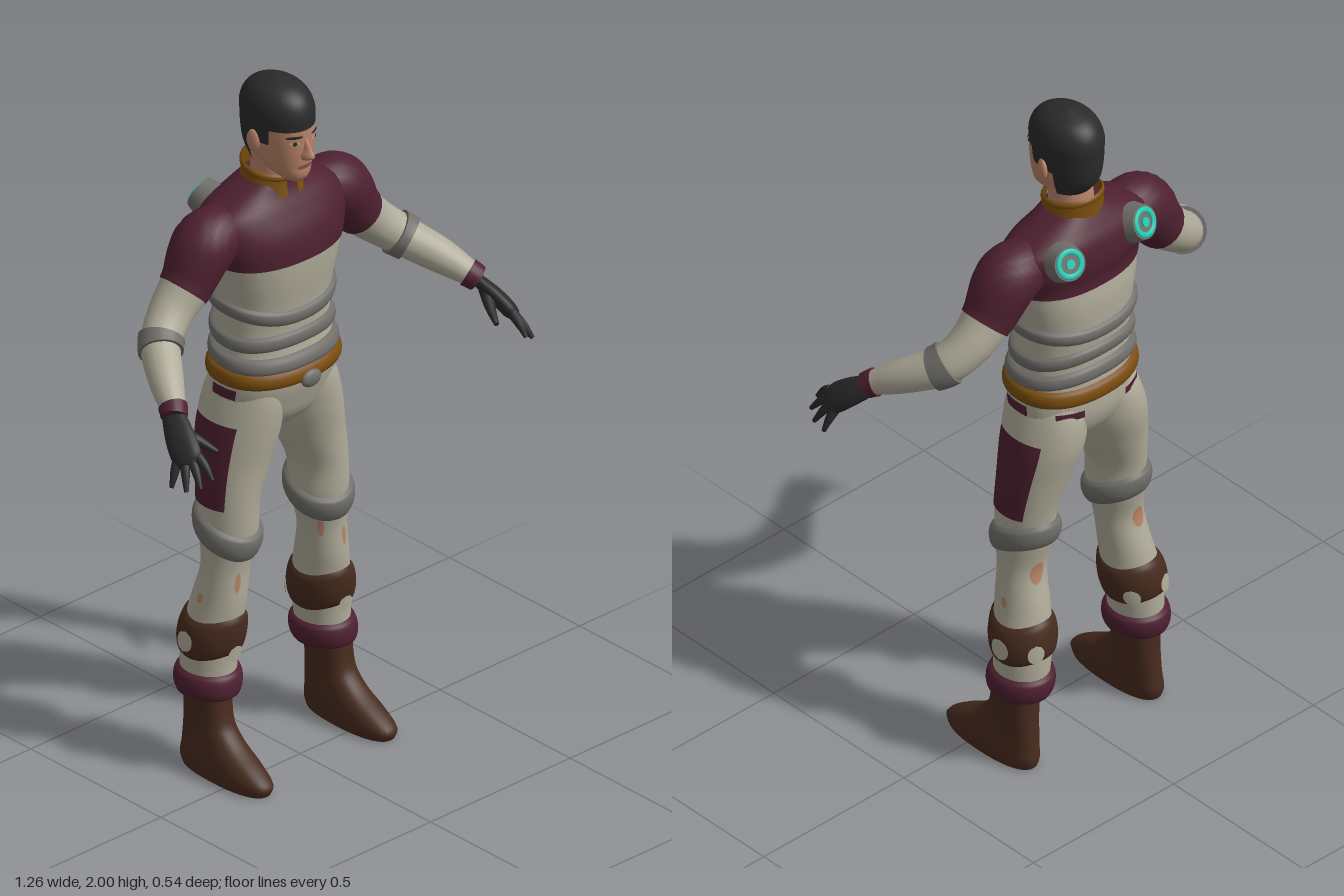
import * as THREE from 'three';

const paint = (name, color, side = THREE.FrontSide) => {
  const m = new THREE.MeshStandardMaterial({ color, side });
  m.name = name;
  return m;
};

// Smooth interpolation of rows [key, a, b, ...] at a key
function at(rows, k) {
  const n = rows.length - 1;
  let i = 0;
  while (i < n - 1 && k > rows[i + 1][0]) i++;
  const p = rows[i], q = rows[i + 1], d = q[0] - p[0], u = Math.min(1, Math.max(0, (k - p[0]) / d));
  const slope = (j, c) => {
    const l = rows[Math.max(0, j - 1)], r = rows[Math.min(n, j + 1)];
    return (r[c] - l[c]) / (r[0] - l[0]);
  };
  return p.slice(1).map((v, j) => {
    const c = j + 1, w = q[c], u2 = u * u, u3 = u2 * u;
    return v * (2 * u3 - 3 * u2 + 1) + w * (3 * u2 - 2 * u3) +
      d * (slope(i, c) * (u3 - 2 * u2 + u) + slope(i + 1, c) * (u3 - u2));
  });
}

// Skin over rings of points; closed rings get end caps
function skin(name, mat, rings, closed) {
  const pos = [], idx = [], m = rings[0].length, n = rings.length;
  rings.forEach(r => r.forEach(p => pos.push(p.x, p.y, p.z)));
  for (let i = 0; i < n - 1; i++) for (let j = 0; j < (closed ? m : m - 1); j++) {
    const a = i * m + j, b = i * m + (j + 1) % m;
    idx.push(a, b, b + m, a, b + m, a + m);
  }
  if (closed) [0, n - 1].forEach(i => {
    const c = new THREE.Vector3(), k = pos.length / 3;
    rings[i].forEach(p => c.addScaledVector(p, 1 / m));
    rings[i].forEach(p => pos.push(p.x, p.y, p.z));
    pos.push(c.x, c.y, c.z);
    for (let j = 0; j < m; j++) {
      const a = k + j, b = k + (j + 1) % m;
      i ? idx.push(a, b, k + m) : idx.push(b, a, k + m);
    }
  });
  const g = new THREE.BufferGeometry();
  g.setAttribute('position', new THREE.Float32BufferAttribute(pos, 3));
  g.setIndex(idx);
  g.computeVertexNormals();
  return part(name, mat, g);
}

function part(name, mat, geo) {
  const mesh = new THREE.Mesh(geo, mat);
  mesh.name = name;
  return mesh;
}

// Upright loft of ellipses; rows are [y, cx, cz, rx, rz]. Angle 0 faces front.
function loft(name, mat, rows, y0, y1, o = {}) {
  const { a, off = 0, bulge, round, wave = () => 0, sq = 1, n = 20, seg = 40 } = o;
  const pw = v => Math.sign(v) * Math.abs(v) ** sq, rings = [];
  for (let i = 0; i <= n; i++) {
    const v = i / n, ring = [], y = y0 + (y1 - y0) * v;
    const e = bulge ? off * Math.max(0, Math.sin(Math.PI * v)) ** 0.4 : off;
    const w = round ? Math.sqrt(Math.max(0, 1 - (2 * v - 1) ** 2)) : 1;
    for (let j = 0; j < (a ? seg + 1 : seg); j++) {
      const t = a ? (a[0] + a[1]) / 2 + (a[1] - a[0]) * (j / seg - 0.5) * w : j / seg * 2 * Math.PI;
      const yy = y + wave(t), [cx, cz, rx, rz] = at(rows, yy);
      ring.push(new THREE.Vector3(cx + (rx + e) * pw(Math.sin(t)), yy, cz + (rz + e) * pw(Math.cos(t))));
    }
    rings.push(ring);
  }
  return skin(name, mat, rings, !a);
}

// Round limb along a path; pts are [x, y, z, radius]
const across = new THREE.Vector3(0.47, -0.34, -0.81);
function limb(name, mat, pts, t0 = 0, t1 = 1, off = 0, flat = 1, n = 24, seg = 20) {
  const rows = pts.map((p, i) => [i / (pts.length - 1), ...p]), rings = [];
  for (let i = 0; i <= n; i++) {
    const t = t0 + (t1 - t0) * i / n, [x, y, z, r] = at(rows, t);
    const f = new THREE.Vector3(...at(rows, Math.min(1, t + 0.01)));
    const d = f.sub(new THREE.Vector3(...at(rows, Math.max(0, t - 0.01)))).normalize();
    const u = across.clone().addScaledVector(d, -across.dot(d)).normalize();
    const w = d.clone().cross(u);
    rings.push(Array.from({ length: seg }, (_, j) => {
      const a = j / seg * 2 * Math.PI, R = r + off;
      return new THREE.Vector3(x, y, z).addScaledVector(u, R * Math.cos(a)).addScaledVector(w, R * flat * Math.sin(a));
    }));
  }
  return skin(name, mat, rings, true);
}

export function createModel() {
  const cream = paint('cream cloth', 0xb0ac9a), maroon = paint('maroon cloth', 0x4e2030);
  const black = paint('black', 0x2a2a2b, THREE.DoubleSide), brown = paint('brown leather', 0x472b1e);
  const grey = paint('grey padding', 0x6f6e69), ochre = paint('ochre leather', 0x7a4d0d, THREE.DoubleSide);
  const teal = paint('teal light', 0x20c8b0), flesh = paint('skin', 0xb98468), lip = paint('lips', 0x8a5546);
  const model = new THREE.Group();
  const add = (...m) => model.add(...m);
  // Adds a left part and its mirror image
  const both = mesh => {
    const g = mesh.geometry.clone().scale(-1, 1, 1), ix = g.index.array;
    for (let i = 0; i < ix.length; i += 3) [ix[i], ix[i + 1]] = [ix[i + 1], ix[i]];
    const n = mesh.name[0].toUpperCase() + mesh.name.slice(1);
    const other = part('right' + n, mesh.material, g);
    mesh.name = 'left' + n;
    add(mesh, other);
  };

  // Torso
  const torso = [[0.97, 0, -0.11, 0.06, 0.05], [1.02, 0, -0.11, 0.15, 0.1], [1.08, 0, -0.11, 0.178, 0.125],
    [1.15, 0, -0.103, 0.18, 0.133], [1.25, 0, -0.108, 0.168, 0.12], [1.35, 0, -0.11, 0.168, 0.125],
    [1.45, 0, -0.105, 0.188, 0.132], [1.52, 0, -0.1, 0.205, 0.13], [1.58, 0, -0.11, 0.222, 0.128],
    [1.64, 0, -0.12, 0.215, 0.108], [1.68, 0, -0.12, 0.14, 0.085], [1.71, 0, -0.115, 0.08, 0.07]];
  const sq = 0.88;
  add(loft('hips', cream, torso, 0.97, 1.16, { sq }), loft('shirt', cream, torso, 1.16, 1.505, { sq }),
    loft('chestPanel', maroon, torso, 1.5, 1.71, { sq, off: 0.002 }));
  [[1.345, 0.02], [1.28, -0.014], [1.215, -0.008]].forEach(([y, w], i) => add(loft('waistPad' + (i + 1), grey, torso,
    y - 0.022, y + 0.022, { sq, off: 0.014, bulge: true, n: 10, wave: a => w * Math.sin(a) ** 2 - 0.012 * Math.cos(a) })));
  add(loft('belt', ochre, torso, 1.138, 1.188, { sq, off: 0.014, bulge: true, n: 10 }));
  const buckle = part('buckle', grey, new THREE.SphereGeometry(1, 20, 12).scale(0.034, 0.025, 0.014));
  buckle.position.set(0, 1.147, 0.042);
  add(buckle);
  both(loft('hipFlap', maroon, torso, 1.105, 1.135, { sq, off: 0.008, a: [1.25, 1.75], n: 4 }));
  both(loft('backPocketFlap', maroon, torso, 1.1, 1.122, { sq, off: 0.007, a: [2.3, 2.8], n: 4 }));

  // Round lights on the shoulder blades
  const out = new THREE.Vector3(0.18, 0.42, -0.89).normalize();
  const turn = new THREE.Quaternion().setFromUnitVectors(new THREE.Vector3(0, 1, 0), out);
  const disc = (name, mat, geo, d) => both(part(name, mat, geo.translate(0, d, 0).applyQuaternion(turn).translate(0.13, 1.632, -0.228)));
  disc('lightHousing', grey, new THREE.CylinderGeometry(0.046, 0.056, 0.04, 28), 0);
  disc('lightRing', teal, new THREE.TorusGeometry(0.034, 0.008, 8, 28).rotateX(Math.PI / 2).scale(1, 0.5, 1), 0.021);
  disc('lightCore', teal, new THREE.CylinderGeometry(0.013, 0.013, 0.006, 16), 0.022);

  // Neck and collar
  add(loft('neck', flesh, [[1.66, 0, -0.11, 0.06, 0.066], [1.8, 0, -0.1, 0.058, 0.058]], 1.66, 1.8));
  const collar = [[1.66, 0, -0.11, 0.1, 0.09], [1.71, 0, -0.112, 0.083, 0.08], [1.78, 0, -0.115, 0.074, 0.072]];
  const rise = a => -0.014 * Math.cos(a);
  add(loft('collar', ochre, collar, 1.685, 1.745, { a: [0.2, 6.08], wave: rise, n: 8 }),
    loft('collarTrim', ochre, collar, 1.728, 1.748, { a: [0.2, 6.08], wave: rise, off: 0.006, bulge: true, n: 6 }));

  // Head and face
  const head = [[1.722, 0, -0.025, 0.018, 0.025], [1.74, 0, -0.038, 0.042, 0.055], [1.77, 0, -0.062, 0.062, 0.08],
    [1.8, 0, -0.075, 0.071, 0.097], [1.84, 0, -0.08, 0.077, 0.104], [1.88, 0, -0.083, 0.079, 0.107],
    [1.92, 0, -0.085, 0.077, 0.105], [1.96, 0, -0.09, 0.062, 0.085], [1.98, 0, -0.09, 0.03, 0.04]];
  add(loft('head', flesh, head, 1.722, 1.98, { sq: 0.93 }));
  add(loft('nose', flesh, [[1.795, 0, 0.01, 0.012, 0.016], [1.808, 0, 0.014, 0.018, 0.038],
    [1.83, 0, 0.01, 0.011, 0.032], [1.858, 0, 0.006, 0.009, 0.019]], 1.795, 1.858, { n: 10, seg: 16 }));
  const face = (name, mat, y0, y1, a, off) => loft(name, mat, head, y0, y1, { a, off, round: true, sq: 0.93, n: 8, seg: 10 });
  add(face('mouth', lip, 1.768, 1.782, [-0.36, 0.36], 0.003));
  both(face('eye', cream, 1.846, 1.858, [0.25, 0.6], 0.002));
  both(face('pupil', black, 1.846, 1.859, [0.36, 0.5], 0.004));
  both(face('eyebrow', black, 1.866, 1.875, [0.16, 0.72], 0.004));
  both(part('ear', flesh, new THREE.SphereGeometry(1, 14, 12).scale(0.011, 0.032, 0.02).rotateY(-0.3).translate(0.086, 1.842, -0.088)));

  // Hair
  const hair = [[1.76, 0, -0.1, 0.062, 0.06], [1.8, 0, -0.094, 0.076, 0.094], [1.84, 0, -0.09, 0.083, 0.108],
    [1.89, 0, -0.088, 0.087, 0.113], [1.93, 0, -0.089, 0.086, 0.112], [1.965, 0, -0.09, 0.072, 0.094],
    [1.988, 0, -0.092, 0.046, 0.06], [2, 0, -0.093, 0.008, 0.01]];
  add(loft('hairTop', black, hair, 1.885, 2, { wave: a => 0 }), loft('hairBack', black, hair, 1.765, 1.888, { a: [1.85, 4.43] }));
  both(loft('sideburn', black, hair, 1.84, 1.888, { a: [1.12, 1.95], n: 6 }));

  // Arms
  const arm = [[0.14, 1.59, -0.115, 0.07], [0.235, 1.575, -0.115, 0.084], [0.3, 1.485, -0.113, 0.07],
    [0.365, 1.42, -0.108, 0.06], [0.43, 1.365, -0.075, 0.054], [0.49, 1.315, 0.01, 0.047],
    [0.53, 1.275, 0.08, 0.034], [0.55, 1.255, 0.105, 0.03]];
  both(limb('shoulderSleeve', maroon, arm, 0, 0.32, 0.003));
  both(limb('lowerSleeve', cream, arm, 0.3, 0.9));
  both(limb('elbowBand', grey, arm, 0.545, 0.605, 0.008));
  both(limb('wristBand', maroon, arm, 0.85, 0.95, 0.005));

  // Gloved hands
  both(limb('palm', black, [[0.538, 1.266, 0.085, 0.031], [0.562, 1.225, 0.14, 0.042],
    [0.577, 1.19, 0.182, 0.043], [0.584, 1.174, 0.2, 0.03]], 0, 1, 0, 0.5));
  const tips = [[0.562, 1.145, 0.265], [0.595, 1.126, 0.255], [0.615, 1.112, 0.222], [0.624, 1.11, 0.175]];
  tips.forEach((t, i) => {
    const b = [0.577, 1.185, 0.187].map((v, c) => v + across.getComponent(c) * (i - 1.5) * 0.02);
    const mid = b.map((v, c) => (v + t[c]) / 2 + (c === 1 ? 0.006 : 0));
    both(limb('finger' + (i + 1), black, [[...b, 0.014], [...mid, 0.012], [...t, 0.006]], 0, 1, 0, 1, 8, 10));
  });
  both(limb('thumb', black, [[0.555, 1.235, 0.12, 0.022], [0.525, 1.213, 0.165, 0.015], [0.5, 1.188, 0.218, 0.007]], 0, 1, 0, 1, 8, 10));

  // Trouser legs
  const leg = [[0.2, 0.21, -0.13, 0.068, 0.08], [0.3, 0.203, -0.135, 0.072, 0.08], [0.4, 0.195, -0.13, 0.077, 0.082],
    [0.5, 0.183, -0.115, 0.068, 0.078], [0.6, 0.172, -0.102, 0.067, 0.066], [0.7, 0.162, -0.102, 0.077, 0.082],
    [0.8, 0.158, -0.106, 0.077, 0.09], [0.9, 0.133, -0.113, 0.094, 0.104], [1, 0.11, -0.117, 0.101, 0.122],
    [1.08, 0.096, -0.113, 0.09, 0.124], [1.14, 0.085, -0.105, 0.078, 0.11]];
  both(loft('trouserLeg', cream, leg, 0.23, 1.14, { n: 50 }));
  both(loft('thighPanel', maroon, leg, 0.79, 1.03, { a: [0.95, 2.2], off: 0.006 }));
  both(loft('kneePad', grey, leg, 0.662, 0.738, { off: 0.016, bulge: true, n: 12, wave: a => -0.032 * Math.cos(a) + 0.008 * Math.sin(a) }));
  both(loft('trouserCuff', maroon, leg, 0.222, 0.295, { off: 0.017, bulge: true, n: 12 }));

  // Shin straps with openings, and worn spots on the calves
  both(loft('shinStrap', brown, leg, 0.345, 0.457, { off: 0.013, bulge: true, n: 14, wave: a => 0.008 * Math.cos(2 * a) }));
  [[1.35, 1.95, 0.36, 0.42], [-0.25, 0.25, 0.34, 0.385], [2.5, 3, 0.36, 0.415], [3.7, 4.2, 0.35, 0.4]].forEach(([a0, a1, y0, y1], i) =>
    both(loft('strapOpening' + (i + 1), cream, leg, y0, y1, { a: [a0, a1], off: 0.0165, round: true, n: 8, seg: 10 })));
  [[0.1, 0.35, 0.54, 0.6], [1.5, 1.75, 0.5, 0.53], [2.7, 3.3, 0.57, 0.64], [-0.9, -0.65, 0.58, 0.64]].forEach(([a0, a1, y0, y1], i) =>
    both(loft('wornSpot' + (i + 1), flesh, leg, y0, y1, { a: [a0, a1], off: 0.003, round: true, n: 8, seg: 8 })));

  // Boots
  const boot = [[0, 0.222, -0.045, 0.053, 0.155], [0.025, 0.222, -0.045, 0.058, 0.163], [0.06, 0.22, -0.065, 0.056, 0.138],
    [0.1, 0.218, -0.097, 0.052, 0.102], [0.15, 0.217, -0.118, 0.051, 0.076], [0.27, 0.214, -0.127, 0.055, 0.068]];
  both(loft('boot', brown, boot, 0, 0.27, { sq: 0.85, n: 24 }));
  return model;
}
